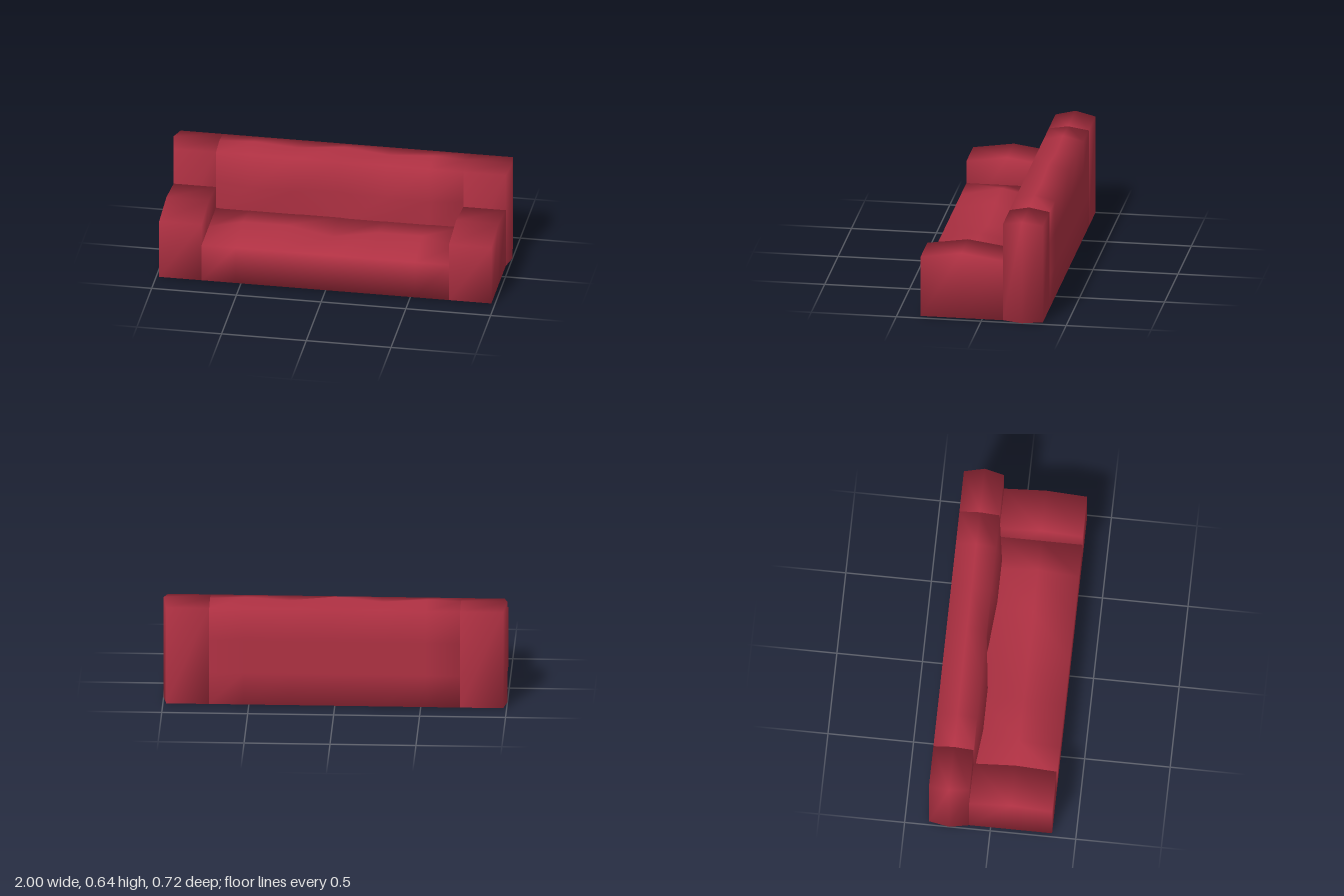
import * as THREE from 'three';
import { mergeVertices } from 'three/addons/utils/BufferGeometryUtils.js';

const FLOOR = 0.006;

export function createModel() {
  const fabric = new THREE.MeshStandardMaterial({ color: 0xb03143 });
  fabric.name = 'crimson fabric';
  const sofa = new THREE.Group();
  sofa.name = 'sofa';

  // Smooth upholstered block on a grid of x, y, z lines; rule(v, i, j, k) shapes each vertex.
  function block(name, xs, ys, zs, rule) {
    const n = [xs.length - 1, ys.length - 1, zs.length - 1];
    let geo = new THREE.BoxGeometry(...n, ...n);
    geo.deleteAttribute('normal');
    geo.deleteAttribute('uv');
    geo = mergeVertices(geo);
    const p = geo.attributes.position;
    const v = new THREE.Vector3();
    for (let a = 0; a < p.count; a++) {
      const i = Math.round(p.getX(a) + n[0] / 2);
      const j = Math.round(p.getY(a) + n[1] / 2);
      const k = Math.round(p.getZ(a) + n[2] / 2);
      v.set(xs[i], ys[j], zs[k]);
      rule(v, i, j, k);
      p.setXYZ(a, v.x, v.y, v.z);
    }
    geo.computeVertexNormals();
    const mesh = new THREE.Mesh(geo, fabric);
    mesh.name = name;
    sofa.add(mesh);
  }

  const columns = [-0.73, -0.53, -0.27, 0, 0.27, 0.53, 0.73];
  const puffed = [0, 1, 1, 0, 1, 1, 0]; // two cushions side by side
  const crest = [0.617, 0.627, 0.61, 0.637, 0.61, 0.627, 0.617];
  const seatDepth = [-0.125, 0.12, 0.36];
  const backDepth = [-0.36, -0.24, -0.125];

  // Seat with two crowned cushions
  block('seat', columns, [FLOOR, 0.235], seatDepth, (v, i, j, k) => {
    if (j === 1 && k === 1) v.y += 0.05 * puffed[i];
  });

  // Backrest with a wavy crest and two cushions swelling forward
  block('backrest', columns, [FLOOR, 0.2, 0.4, 0.598], backDepth, (v, i, j, k) => {
    if (j === 3 && k === 1) v.y = crest[i];
    if (j === 0 && k === 1) v.y = 0;
    if (j === 2 && k === 2) v.z += 0.035 * puffed[i];
  });

  // Arms and the backrest ends behind them
  for (const [side, s] of [['left', 1], ['right', -1]]) {
    const xs = [0.73 * s, 0.98 * s].sort((a, b) => a - b);

    block(side + 'Arm', xs, [FLOOR, 0.37], seatDepth, (v, i, j, k) => {
      if (j === 1 && k === 1) v.y = 0.405;
    });

    block(side + 'BackrestEnd', xs, [FLOOR, 0.598], backDepth, (v, i, j, k) => {
      if (k !== 1) return;
      v.y = j === 1 ? 0.62 : 0;
      if (Math.abs(v.x) > 0.9) v.x = s;
    });
  }
  return sofa;
}
